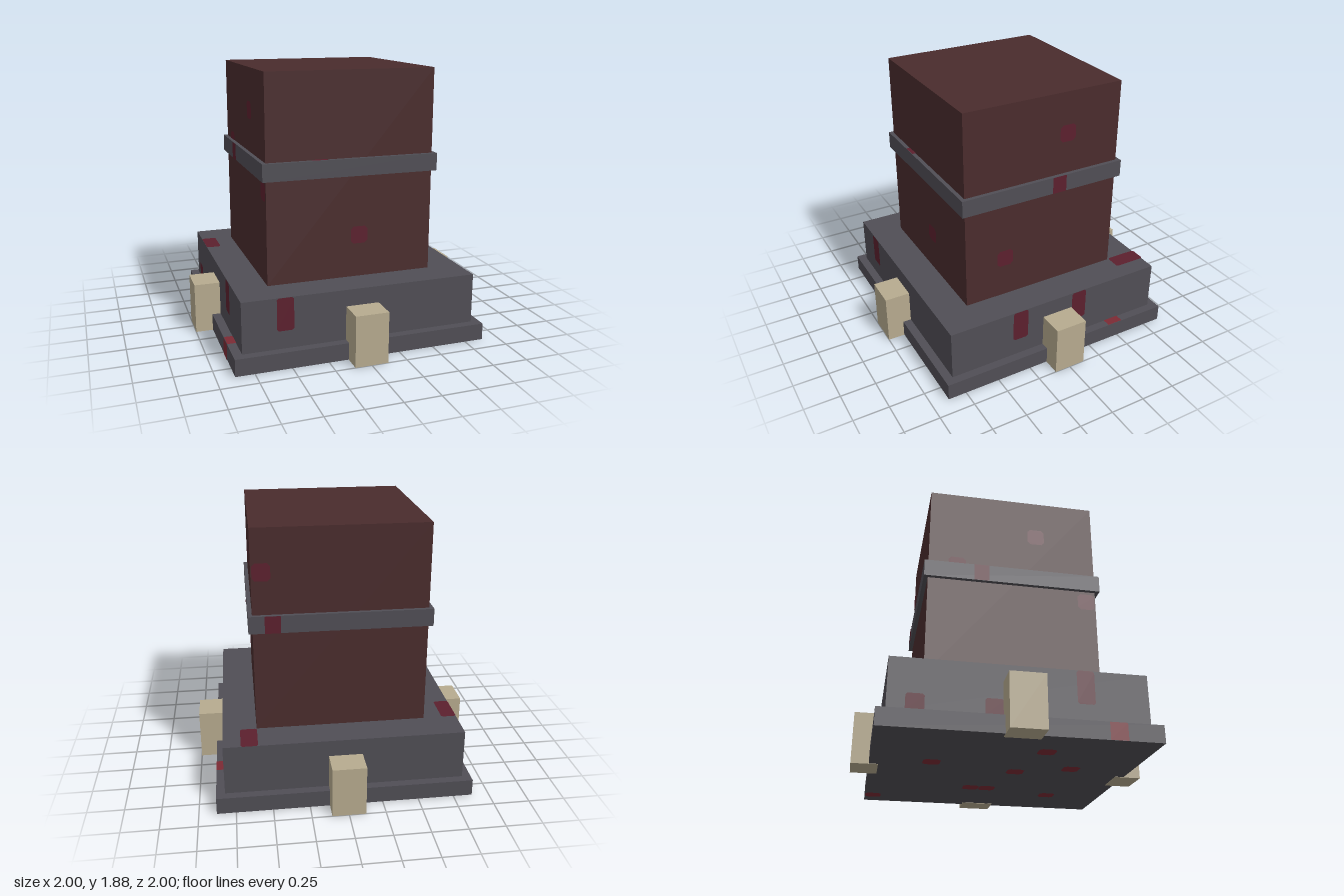
import * as THREE from 'three';

const mat = (name, color) => {
  const m = new THREE.MeshStandardMaterial({ color });
  m.name = name;
  return m;
};

export function createModel() {
  const group = new THREE.Group();
  const stone = mat('grey stone', 0x504e55);
  const clay = mat('dark red clay', 0x4a2c2d);
  const tan = mat('tan stone', 0xb7ab8f);
  const stain = mat('dark red stain', 0x5c202e);
  const bright = mat('bright red stain', 0x7c2a34);

  const box = (name, material, half, y0, y1) => {
    const mesh = new THREE.Mesh(new THREE.BoxGeometry(half * 2, y1 - y0, half * 2), material);
    mesh.position.y = (y0 + y1) / 2;
    mesh.name = name;
    group.add(mesh);
  };

  // Stacked blocks
  const SLAB = 0.88, BASE = 0.82, BAND = 0.615, TOWER = 0.587;
  box('bottomSlab', stone, SLAB, 0.003, 0.12);
  box('base', stone, BASE, 0.12, 0.47);
  box('tower', clay, TOWER, 0.47, 1.88);
  box('towerBand', stone, BAND, 1.18, 1.3);

  // One post in the middle of each side
  for (let i = 0; i < 4; i++) {
    const geo = new THREE.BoxGeometry(0.23, 0.355, 0.18).translate(0, 0.1775, 0.91);
    const post = new THREE.Mesh(geo.rotateY(i * Math.PI / 2), tan);
    post.name = 'post';
    group.add(post);
  }

  // Flat patch with clipped corners, facing +z
  const patch = (w, h, r) => {
    const a = w / 2, b = h / 2;
    const pts = [[a - r, -b], [a, r - b], [a, b - r], [a - r, b], [r - a, b], [-a, b - r], [-a, r - b], [r - a, -b]];
    return new THREE.ShapeGeometry(new THREE.Shape(pts.map(p => new THREE.Vector2(...p))));
  };
  // Turns for each side
  const turn = {
    front: [0, 0], right: [0, Math.PI / 2], back: [0, Math.PI], left: [0, -Math.PI / 2],
    top: [-Math.PI / 2, 0], bottom: [Math.PI / 2, 0],
  };
  const LIFT = 0.003;
  const addPatch = (name, material, side, x, y, z, w, h, r = 0.012) => {
    const mesh = new THREE.Mesh(patch(w, h, r), material);
    mesh.rotation.set(turn[side][0], turn[side][1], 0);
    const normal = new THREE.Vector3(0, 0, 1).applyEuler(mesh.rotation);
    mesh.position.set(x, y, z).addScaledVector(normal, LIFT);
    mesh.name = name;
    group.add(mesh);
  };

  // Spots on the tower walls
  for (const [side, x, y, z] of [
    ['front', 0.06, 0.765, TOWER],
    ['right', TOWER, 1.59, -0.18], ['right', TOWER, 0.765, 0.29],
    ['back', 0.52, 1.59, -TOWER],
    ['left', -TOWER, 1.59, 0.17], ['left', -TOWER, 1.3, -0.39], ['left', -TOWER, 1.1, 0.52],
  ]) addPatch('towerSpot', stain, side, x, y, z, 0.12, 0.12, 0.02);

  // Stains across the band
  addPatch('bandStain', stain, 'right', BAND, 1.24, -0.112, 0.105, 0.12, 0.002);
  addPatch('bandStain', stain, 'back', 0.455, 1.24, -BAND, 0.105, 0.12, 0.002);
  addPatch('bandStain', stain, 'left', -BAND, 1.24, -0.22, 0.105, 0.12, 0.002);
  addPatch('bandTopStain', stain, 'top', -0.225, 1.3, 0.601, 0.105, 0.028, 0.002);

  // Drips and spots on the base
  for (const [side, x, z] of [
    ['front', -0.53, BASE], ['right', BASE, 0.297], ['right', BASE, -0.175], ['left', -BASE, 0.41],
  ]) addPatch('baseDrip', stain, side, x, 0.357, z, 0.115, 0.225);
  for (const z of [-0.65, -0.17]) addPatch('baseSpot', stain, 'left', -BASE, 0.18, z, 0.115, 0.12);
  addPatch('baseTopStain', stain, 'top', -0.768, 0.47, -0.475, 0.105, 0.23);
  addPatch('baseTopStain', stain, 'top', 0.643, 0.47, -0.71, 0.115, 0.23);

  // Bright stains on the slab
  addPatch('slabStain', bright, 'top', 0.85, 0.12, -0.472, 0.06, 0.115, 0.002);
  addPatch('slabStain', bright, 'top', -0.85, 0.12, 0.587, 0.06, 0.115, 0.002);
  addPatch('slabStain', bright, 'left', -SLAB, 0.061, 0.587, 0.115, 0.115, 0.002);
  addPatch('slabStain', bright, 'right', SLAB, 0.061, -0.115, 0.115, 0.115, 0.002);

  // Spots under the slab
  for (const [x, z] of [
    [0.7, -0.82], [0.47, 0.47], [0.35, -0.13], [0.35, -0.01],
    [-0.235, -0.48], [-0.11, 0.105], [-0.24, 0.46], [-0.58, 0.21],
  ]) addPatch('undersideSpot', bright, 'bottom', x, 0.003, z, 0.115, 0.115, 0.02);

  return group;
}
